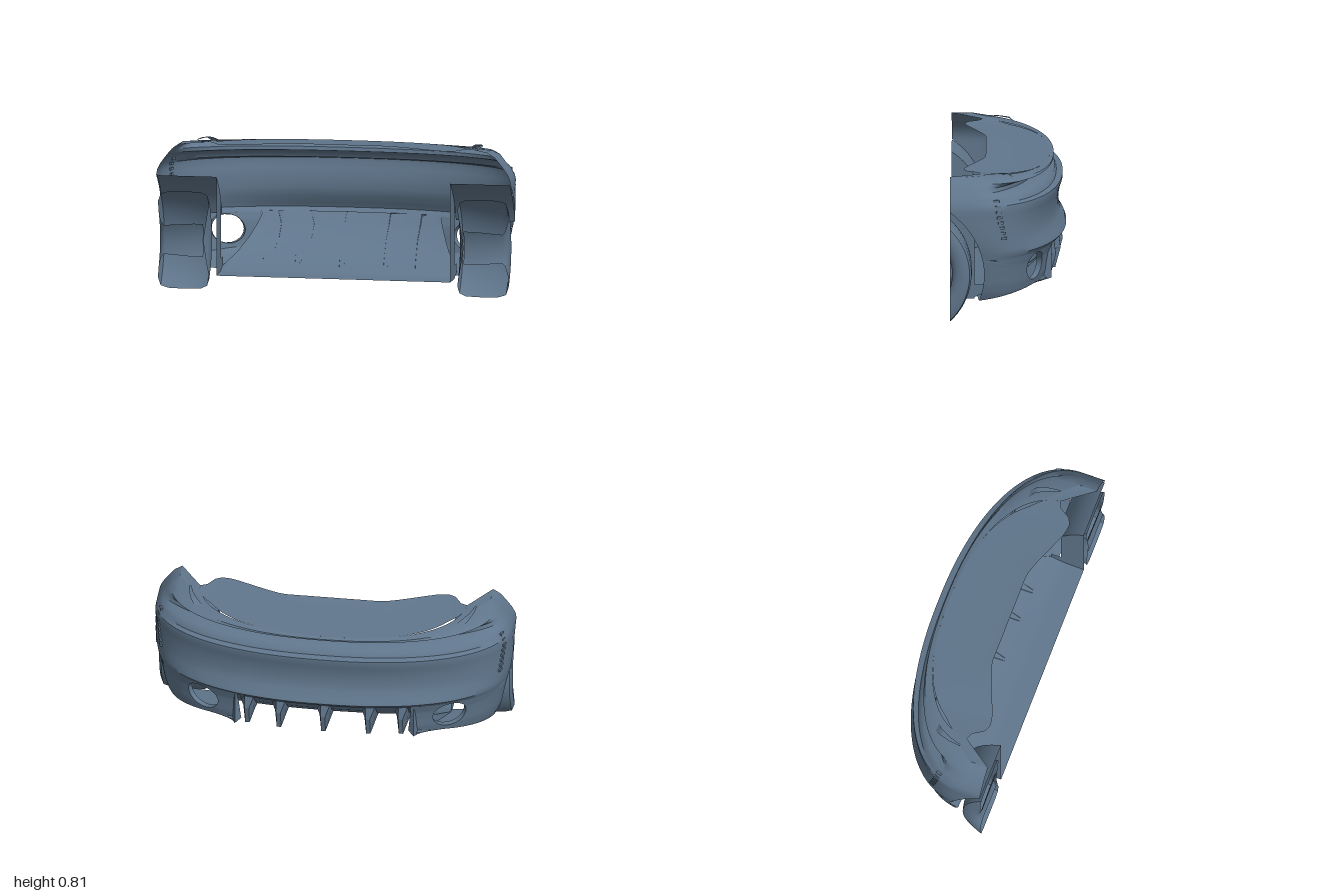
import * as THREE from 'three';
import { toCreasedNormals } from 'three/addons/utils/BufferGeometryUtils.js';

const paint = new THREE.MeshStandardMaterial({ color: 0x60768c, side: THREE.DoubleSide });
const { lerp, clamp } = THREE.MathUtils;
const N = 2.25, Z0 = 0.2, CUT = 0.32;                // plan curve exponent, its centre, front cut plane
const AXLE_Y = 0.275, AXLE_Z = 0.565, ARCH_R = 0.435;

// Loft a grid of points f(u, v), u and v in 0..1
function loft(name, nu, nv, f, crease = 0.6) {
  const pos = [], idx = [];
  for (let j = 0; j <= nv; j++) for (let i = 0; i <= nu; i++) pos.push(...f(i / nu, j / nv));
  for (let j = 0; j < nv; j++) for (let i = 0; i < nu; i++) {
    const a = j * (nu + 1) + i, b = a + nu + 1;
    idx.push(a, a + 1, b, b, a + 1, b + 1);
  }
  const g = new THREE.BufferGeometry();
  g.setAttribute('position', new THREE.Float32BufferAttribute(pos, 3));
  g.setIndex(idx);
  const mesh = new THREE.Mesh(toCreasedNormals(g, crease), paint);
  mesh.name = name;
  return mesh;
}

// Piecewise linear lookup in a list of number tuples, t in 0..1
function along(list, t) {
  const k = Math.min(Math.floor(t * (list.length - 1) + 1e-6), list.length - 2);
  const f = t * (list.length - 1) - k;
  return list[k].map((a, i) => lerp(a, list[k + 1][i], f));
}

// Body plan: straight flank for negative angles, rounded tail up to PI/2
function plan(th, A, zr) {
  if (th < 0) return [A, Z0 - th * 0.4];
  const p = 2 / N;
  return [A * Math.max(0, Math.cos(th)) ** p, Z0 - (Z0 - zr) * Math.sin(th) ** p];
}
const angleAt = (z, zr) => z >= Z0 ? (Z0 - z) / 0.4
  : Math.asin(Math.min(1, ((Z0 - z) / (Z0 - zr)) ** (N / 2)));

// Front limit of the flank: the cut plane or the wheel arch
function flankEnd(y) {
  const d = ARCH_R ** 2 - (y - AXLE_Y) ** 2;
  return d > 0 ? Math.min(CUT, AXLE_Z - Math.sqrt(d)) : CUT;
}

// Body rows: y at flank, half width, y at tail, z at tail, depth of the lamp recess
const rows = [
  [0.81, 0.75, 0.775, -0.23, 0], [0.812, 0.87, 0.768, -0.25, 0], [0.785, 0.912, 0.76, -0.25, 0],
  [0.757, 0.936, 0.745, -0.165, 0.04], [0.735, 0.953, 0.725, -0.16, 0.05], [0.715, 0.968, 0.712, -0.23, 0.01],
  [0.70, 0.978, 0.695, -0.255, 0], [0.685, 0.986, 0.672, -0.265, 0], [0.665, 0.995, 0.664, -0.30, 0],
  [0.637, 1, 0.645, -0.30, 0], [0.61, 1, 0.61, -0.288, 0], [0.56, 1, 0.56, -0.278, 0],
  [0.50, 1, 0.50, -0.275, 0], [0.45, 0.996, 0.45, -0.285, 0], [0.41, 0.99, 0.41, -0.31, 0],
  [0.385, 0.985, 0.385, -0.32, 0], [0.36, 0.98, 0.36, -0.295, 0],
];
function bodyPoint(u, k) {
  const [ys, A, yr, zr, recess] = rows[k];
  const start = angleAt(k === 0 ? 0.15 : flankEnd(ys), zr), s = u * 2 - 1;
  const th = lerp(Math.PI / 2, start, Math.abs(s));
  const [x, z] = plan(th, A, zr);
  const dent = 1 - recess * clamp((0.1 - z) / 0.12, 0, 1);
  return [Math.sign(s) * x * dent, lerp(ys, yr, Math.sin(Math.max(0, th)) ** 0.65), z];
}

// Lower corner surface: y, half width, z at tail
const low = [[0.36, 0.98, -0.295], [0.31, 0.97, -0.275], [0.26, 0.96, -0.267],
  [0.21, 0.95, -0.262], [0.16, 0.935, -0.25], [0.11, 0.91, -0.23]];
const lowRow = y => along(low, clamp((0.36 - y) / 0.25, 0, 1));
function cornerPoint(th, y) {
  const [, A, zr] = lowRow(y), [x, z] = plan(th, A, zr);
  return [x, y, z];
}
const INNER = 1.1;                                    // angle where the corner meets the diffuser
const hemY = th => 0.115 + 0.07 * clamp(th / INNER, 0, 1);
const archAngle = y => angleAt(flankEnd(y), lowRow(y)[2]);
const hemStart = archAngle(0.12);

// Outline of the corner panel in (angle, y), t in 0..1 around
function cornerOutline(t) {
  const side = Math.min(3, Math.floor(t * 4 + 1e-6)), f = t * 4 - side;
  if (side === 0) return [lerp(archAngle(0.36), INNER, f), 0.36];
  if (side === 1) return [INNER, lerp(0.36, hemY(INNER), f)];
  if (side === 2) { const th = lerp(INNER, hemStart, f); return [th, hemY(th)]; }
  const y = lerp(hemY(hemStart), 0.36, f);
  return [archAngle(y), y];
}

// Diffuser floor: z, y
const floorLine = [[0.32, 0.08], [0.2, 0.086], [0.08, 0.118], [-0.04, 0.168], [-0.15, 0.235],
  [-0.23, 0.30], [-0.29, 0.365]];
const curveZ = (x, z) => z < Z0 ? Z0 - (Z0 - z) * (1 - Math.abs(x) ** N) ** (1 / N) : z;
function floorPoint(s, v) {
  const [z, y] = along(floorLine, v), x = s * lerp(0.66, 0.5, clamp((0.1 - z) / 0.39, 0, 1));
  return [x, y, curveZ(x, z)];
}
// Lower edge of the diffuser side, t from the wheel well to the tail
const SIDE_START = 0.22;
const sideTop = t => floorPoint(1, lerp(SIDE_START, 1, t));
function sideBottom(t) {
  const [x, y, z] = sideTop(t);
  return [x, Math.min(y, lerp(0.1, 0.165, t)), z];
}

export function createModel() {
  const model = new THREE.Group();
  model.name = 'carRearSection';

  // Bumper, fenders and tail in one skin
  model.add(loft('rearBodySkin', 96, rows.length - 1, (u, v) => bodyPoint(u, Math.round(v * (rows.length - 1)))));
  // Boot deck, its front edge reaching further forward towards the sides
  model.add(loft('bootDeck', 40, 30, (u, v) => {
    const [w, y, z] = bodyPoint(0.5 + v / 2, 0), x = w * (u * 2 - 1), ax = Math.abs(x);
    const reach = 0.1 * clamp((ax - 0.28) / 0.3, 0, 1) * clamp((0.72 - ax) / 0.06, 0, 1);
    const middle = 0.025 * clamp((0.7 - ax) * 3, 0, 1);
    return [x, y, z + (reach - middle) * v ** 4];
  }));

  // Diffuser floor and its wedge fins
  model.add(loft('diffuserFloor', 32, 24, (u, v) => floorPoint(u * 2 - 1, v)));
  const finBottom = [[0.1, 0.105], [-0.1, 0.145], [-0.27, 0.175], [-0.3, 0.285], [-0.29, 0.365]];
  const finTop = [[0.1, 0.113], [-0.04, 0.168], [-0.15, 0.235], [-0.23, 0.30], [-0.288, 0.365]];
  for (const x of [-0.43, -0.25, 0, 0.25, 0.43]) {
    model.add(loft('diffuserFin', 4, 4, (u, v) => {
      const edge = Math.abs(u * 2 - 1);
      const [zb, yb] = along(finBottom, v), [zt, yt] = along(finTop, v);
      const w = edge < 0.1 ? 0 : edge < 0.6 ? 0.012 : 0.04 * Math.min(1, 0.2 + v * 2);
      const k = edge > 0.9 ? 1 : 0, px = x + Math.sign(u - 0.5) * w;
      return [px, lerp(yb, yt, k), curveZ(x, lerp(zb, zt, k))];
    }, 0.3));
  }

  for (const m of [-1, 1]) {
    const side = new THREE.Group();
    side.name = m > 0 ? 'leftSide' : 'rightSide';
    const flip = p => [p[0] * m, p[1], p[2]];
    const bridge = (a, b, t) => flip(a.map((c, i) => lerp(c, b[i], t)));

    // Lower bumper corner around the exhaust opening, with a turned-in rim
    side.add(loft('bumperCorner', 64, 10, (u, v) => {
      const o = cornerOutline(u), c = [0.805, 0.275];
      const a = Math.atan2((o[1] - c[1]) / 0.08, (o[0] - c[0]) / 0.135);
      const hole = [c[0] + 0.135 * Math.cos(a), c[1] + 0.08 * Math.sin(a)];
      const f = Math.max(0, (v - 0.1) / 0.9);
      const p = cornerPoint(lerp(hole[0], o[0], f), lerp(hole[1], o[1], f));
      if (v < 0.05) { p[0] -= 0.015; p[2] += 0.03; }
      return flip(p);
    }));
    // Underside of the corner and the wall up to the diffuser floor
    side.add(loft('cornerUnderside', 4, 20, (u, v) => {
      const th = lerp(hemStart, INNER, v);
      return bridge(cornerPoint(th, hemY(th)), sideBottom(v), u);
    }));
    side.add(loft('diffuserSideWall', 1, 20, (u, v) => bridge(sideBottom(v), sideTop(v), u)));
    side.add(loft('diffuserEndWall', 1, 8, (u, v) =>
      bridge(cornerPoint(INNER, lerp(hemY(INNER), 0.36, v)), [0.5, lerp(0.165, 0.365, v), sideTop(1)[2]], u)));

    // Wheel well: inner wall, low sill behind it, and the arched liner above the tyre
    const archY = z => AXLE_Y + Math.sqrt(ARCH_R ** 2 - (AXLE_Z - z) ** 2);
    side.add(loft('wheelWellWall', 8, 1, (u, v) => {
      const z = lerp(0.185, CUT, u);
      return flip([0.66, v ? archY(z) : 0.08, z]);
    }));
    side.add(loft('wheelWellSill', 1, 1, (u, v) => flip([0.66, v ? 0.158 : lerp(0.105, 0.088, u), lerp(0.13, 0.185, u)])));
    side.add(loft('wheelWellLiner', 1, 12, (u, v) => {
      const z = lerp(0.15, CUT, v);
      return flip([lerp(0.66, 0.995, u), archY(z), z]);
    }));

    // Rear slice of the wheel: tyre section and rim barrel (x, radius), cut at the front plane
    const tyre = [[0.735, 0.2451], [0.715, 0.28], [0.70, 0.325], [0.712, 0.352], [0.75, 0.365],
      [0.84, 0.367], [0.93, 0.365], [0.975, 0.355], [0.99, 0.325], [0.985, 0.285],
      [0.97, 0.263], [0.955, 0.258], [0.79, 0.262], [0.735, 0.262]];
    side.add(loft('wheel', 28, tyre.length - 1, (u, v) => {
      const [x, r] = along(tyre, v);
      const a = (u * 2 - 1) * Math.acos(Math.min(1, (AXLE_Z - CUT) / r));
      return flip([x, AXLE_Y + r * Math.sin(a), AXLE_Z - r * Math.cos(a)]);
    }, 0.8));

    // Small teeth set into the seam between fender and bumper
    for (let i = 0; i < 8; i++) {
      const tooth = new THREE.Mesh(new THREE.BoxGeometry(0.014, 0.014, 0.03), paint);
      const y = 0.48 + i * 0.03, z = 0.02 + i * 0.006;
      tooth.name = 'seamTooth';
      tooth.position.set(m * plan(angleAt(z, -0.28), 1 - Math.max(0, y - 0.64) * 0.4, -0.28)[0], y, z);
      tooth.rotation.y = 0.35 * m;
      side.add(tooth);
    }

    // Thin loose strip above the deck edge
    const strip = [[0.73, 0.785, -0.03], [0.76, 0.808, 0], [0.785, 0.812, 0.06], [0.80, 0.812, 0.13]];
    side.add(loft('deckEdgeStrip', 1, 9, (u, v) => {
      const [x, y, z] = along(strip, v);
      return flip([x + (u - 0.5) * 0.05 * (1 - v * 0.8), y, z]);
    }));
    model.add(side);
  }
  return model;
}
